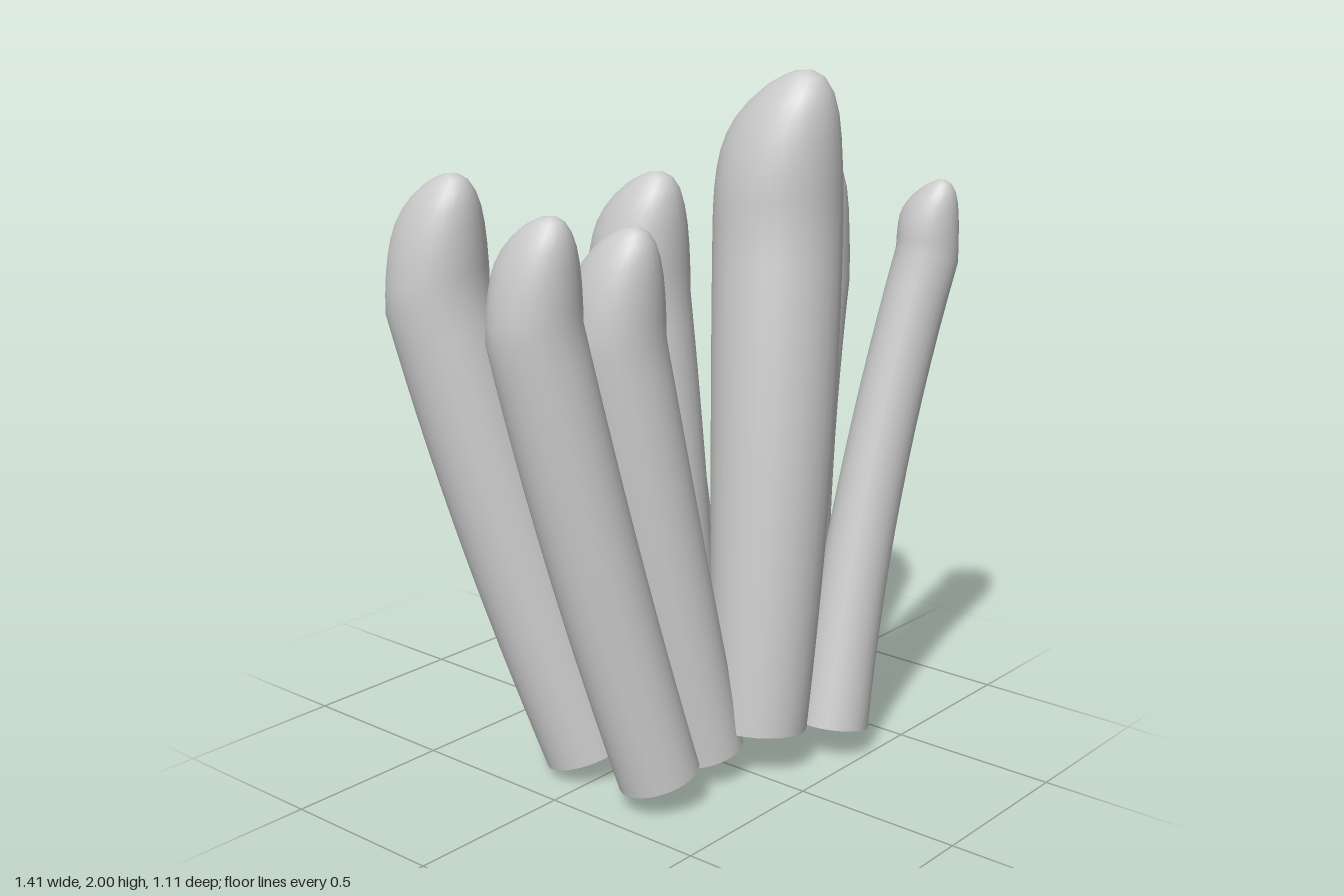
import * as THREE from 'three';
import { mergeVertices } from 'three/addons/utils/BufferGeometryUtils.js';

const SIDES = 28, BODY = 14, CAP = 9;

// Quadratic through base (u=0), mid (u=0.5) and top (u=1): value and slope
const bend = (a, m, b, u) => a + (4 * m - 3 * a - b) * u + 2 * (a + b - 2 * m) * u * u;
const bendSlope = (a, m, b, u) => (4 * m - 3 * a - b) + 4 * (a + b - 2 * m) * u;

// One hollow stalk: open foot, leaning body, tip pinched in x and slanted back in z
function stalkGeometry({ base, top, mid, r }) {
  const [r0, r1] = r;
  const capLength = 2.3 * r1;
  const shoulder = top[1] - 0.14 * r1 - capLength;
  const m = mid ?? [0, 2].map(k => base[k] + (top[k] - base[k]) * 0.54);
  const rise = shoulder - base[1];

  const geo = new THREE.CylinderGeometry(1, 1, 1, SIDES, BODY + CAP, true);
  const pos = geo.attributes.position;
  for (let i = 0; i < pos.count; i++) {
    const row = Math.round((pos.getY(i) + 0.5) * (BODY + CAP));
    const u = Math.min(row / BODY, 1);
    const s = Math.sin(Math.max(row - BODY, 0) / CAP * Math.PI / 2);
    const radius = r0 + (r1 - r0) * Math.sin(u * Math.PI / 2);
    const ox = pos.getX(i) * radius * Math.sqrt(Math.max(0, 1 - s * s));
    const oz = pos.getZ(i) * radius * Math.sqrt(Math.max(0, 1 - s ** 6));
    // rings stay square to the lean of the stalk
    const dx = bendSlope(base[0], m[0], top[0], u) / rise;
    const dz = bendSlope(base[2], m[1], top[2], u) / rise;
    const tilt = -(dx * ox + dz * oz) * (1 - s);
    pos.setXYZ(i,
      bend(base[0], m[0], top[0], u) + ox,
      base[1] + rise * u + capLength * s + tilt + 0.55 * s * oz,
      bend(base[2], m[1], top[2], u) + oz);
  }
  geo.deleteAttribute('uv');
  geo.deleteAttribute('normal');
  const smooth = mergeVertices(geo, 1e-5);
  smooth.computeVertexNormals();
  return smooth;
}

// base and top are [x, y, z], mid is [x, z], r is [foot radius, shoulder radius]
const STALKS = {
  tallestStalk: { base: [0.06, 0.125, 0.29], top: [0.25, 2.0, 0.19], mid: [0.155, 0.25], r: [0.142, 0.185] },
  leftStalk: { base: [0.30, 0.06, 0.215], top: [0.545, 1.73, 0.05], mid: [0.40, 0.115], r: [0.128, 0.152] },
  frontLeftStalk: { base: [0.28, 0.085, 0.40], top: [0.61, 1.68, 0.46], mid: [0.44, 0.40], r: [0.105, 0.09] },
  middleStalk: { base: [0.0, 0.07, 0.08], top: [0.045, 1.71, -0.155], r: [0.105, 0.15] },
  frontMiddleStalk: { base: [-0.095, 0.075, 0.22], top: [-0.275, 1.615, 0.045], r: [0.108, 0.137] },
  rightStalk: { base: [-0.325, 0.085, 0.24], top: [-0.58, 1.68, 0.035], r: [0.112, 0.128] },
  backRightStalk: { base: [-0.29, 0.06, -0.06], top: [-0.505, 1.74, -0.41], r: [0.12, 0.145] },
  backThinStalkRight: { base: [-0.065, 0.045, -0.165], top: [-0.15, 1.39, -0.40], r: [0.085, 0.09] },
  backThinStalkMiddle: { base: [0.145, 0.06, -0.13], top: [0.157, 1.40, -0.415], r: [0.075, 0.092] },
  backThinStalkLeft: { base: [0.205, 0.03, 0.005], top: [0.375, 1.35, -0.34], r: [0.08, 0.075] },
};

export function createModel() {
  const model = new THREE.Group();
  model.name = 'stalkCluster';
  const material = new THREE.MeshStandardMaterial({ color: 0xcccccc, side: THREE.DoubleSide });
  for (const [name, spec] of Object.entries(STALKS)) {
    const stalk = new THREE.Mesh(stalkGeometry(spec), material);
    stalk.name = name;
    model.add(stalk);
  }
  return model;
}
